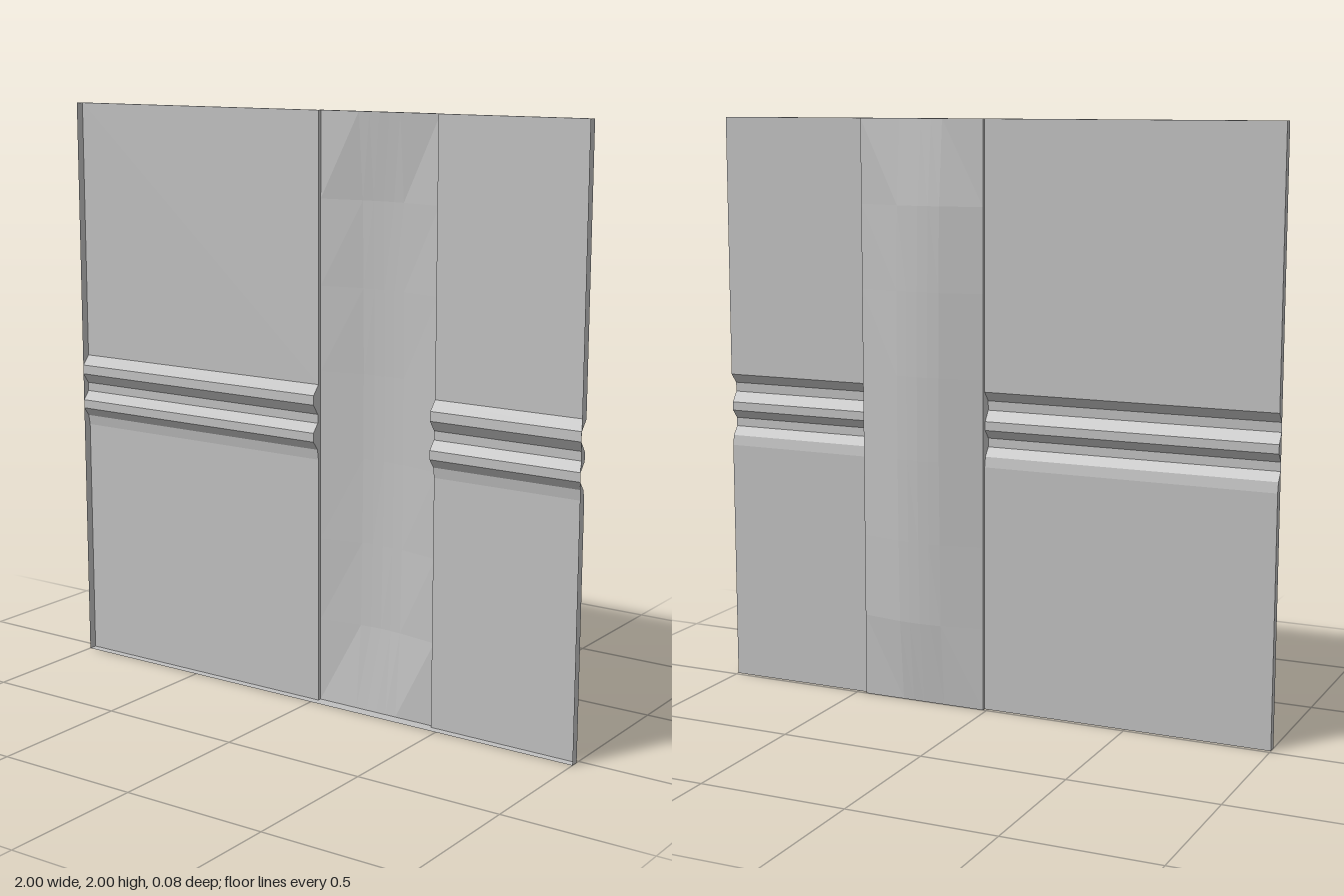
import * as THREE from 'three';

const FRONT = 0.042, SHEET = 0.013, SEAM_L = 0.012, SEAM_R = 0.464;

// Wall section, top to bottom: [y, z], flat sheet with two ribs pressed forward
const PROFILE = [
  [2, SHEET], [1.1, SHEET], [1.067, 0.041], [1.035, FRONT], [1.0, 0.017], [0.97, 0.017],
  [0.94, FRONT], [0.91, FRONT], [0.88, 0.019], [0.845, SHEET], [0, SHEET],
];

// Open strip joining two rails that have the same number of points
function ribbon(a, b) {
  const pos = [];
  for (let i = 0; i < a.length - 1; i++) {
    for (const p of [a[i], a[i + 1], b[i + 1], a[i], b[i + 1], b[i]]) pos.push(...p);
  }
  const g = new THREE.BufferGeometry();
  g.setAttribute('position', new THREE.Float32BufferAttribute(pos, 3));
  g.computeVertexNormals();
  return g;
}

const profileAt = (x) => PROFILE.map(([y, z]) => [x, y, z]);
const railAt = (x, z) => PROFILE.map(([y]) => [x, y, z]);

export function createModel() {
  const model = new THREE.Group();
  model.name = 'ribbedPanel';
  const grey = new THREE.MeshStandardMaterial({ color: 0xc0c0c0 });
  grey.name = 'grey';
  grey.flatShading = true;
  grey.side = THREE.DoubleSide;

  const add = (name, geometry) => {
    const m = new THREE.Mesh(geometry, grey);
    m.name = name;
    model.add(m);
    return m;
  };

  // Ribbed sheets either side of the channel
  add('rightSheet', ribbon(profileAt(-1), profileAt(SEAM_L)));
  add('leftSheet', ribbon(profileAt(SEAM_R), profileAt(1)));

  // Outer side rims, filling from the sheet to the front plane
  for (const x of [-1, 1]) add('sideRim', ribbon(profileAt(x), railAt(x, FRONT)));

  // Channel side walls
  for (const x of [SEAM_L, SEAM_R]) add('channelWall', ribbon(railAt(x, 0), profileAt(x)));

  // Top and bottom rims, deeper across the channel
  for (const y of [0, 2]) {
    for (const [x0, x1, z] of [[-1, SEAM_L, SHEET], [SEAM_L, SEAM_R, 0], [SEAM_R, 1, SHEET]]) {
      add(y ? 'topRim' : 'bottomRim', ribbon([[x0, y, z], [x1, y, z]], [[x0, y, FRONT], [x1, y, FRONT]]));
    }
  }

  // Shallow faceted dish bulging out of the back
  const xs = [SEAM_L, 0.16, 0.2, 0.238, 0.277, 0.316, SEAM_R];
  const depthX = [0, 0.86, 0.96, 1, 0.96, 0.86, 0];
  const depthY = [0, 0.72, 0.9, 1, 1, 0.9, 0.72, 0];
  const dish = new THREE.PlaneGeometry(1, 2, 6, 7);
  const p = dish.attributes.position;
  for (let i = 0; i < p.count; i++) {
    const c = i % 7, r = Math.floor(i / 7);
    p.setXYZ(i, xs[c], 2 - (r * 2) / 7, -0.041 * depthX[c] * depthY[r]);
  }
  dish.computeVertexNormals();
  add('channelDish', dish);

  return model;
}
